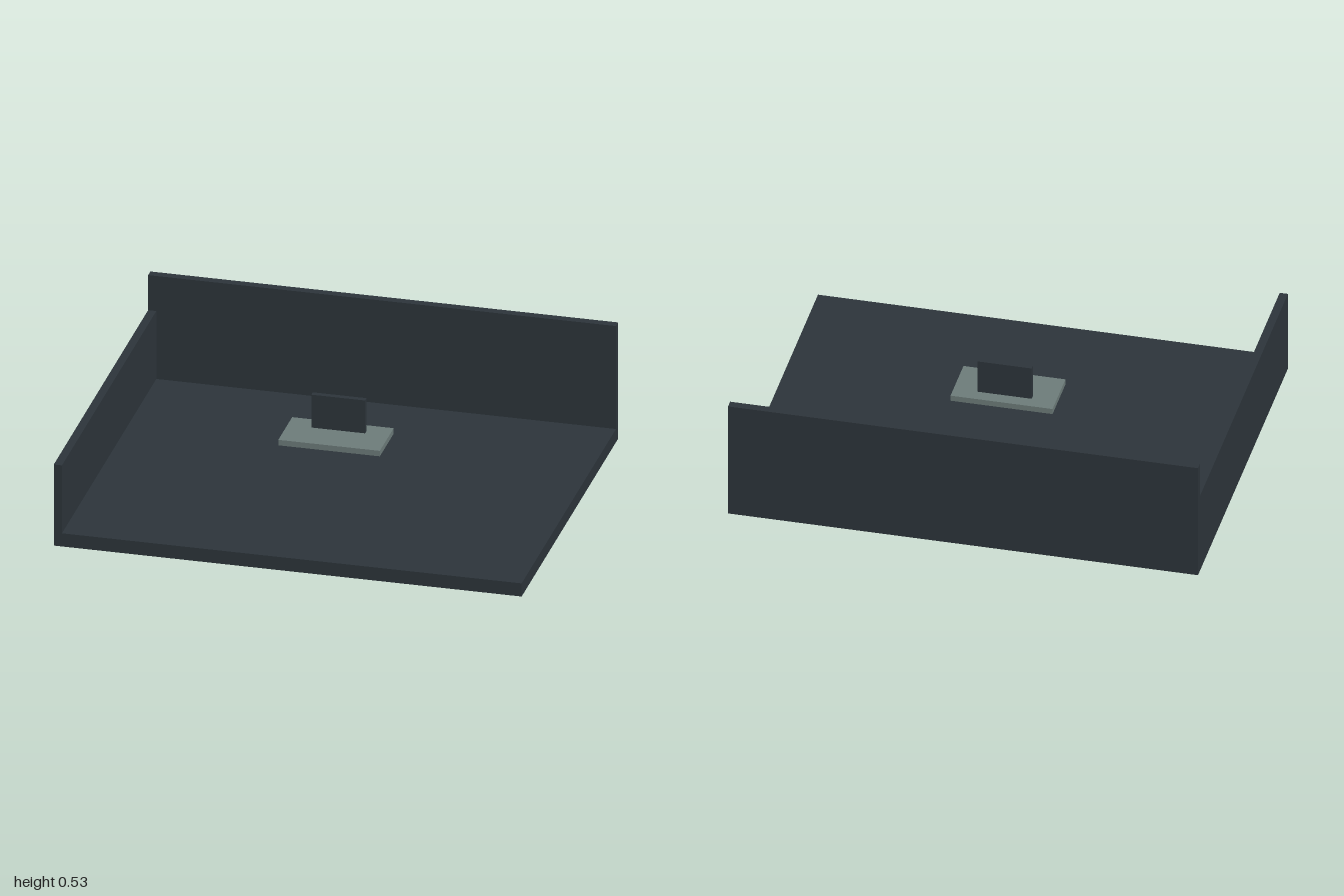
import * as THREE from 'three';

export function createModel() {
  const model = new THREE.Group();
  const slate = new THREE.MeshStandardMaterial({ color: 0x2d353b });
  slate.name = 'dark slate';
  const greyGreen = new THREE.MeshStandardMaterial({ color: 0x6e7d7b });
  greyGreen.name = 'grey green';

  // Box given by its lower and upper corners
  function addBox(name, material, [x0, y0, z0], [x1, y1, z1]) {
    const geometry = new THREE.BoxGeometry(x1 - x0, y1 - y0, z1 - z0);
    const mesh = new THREE.Mesh(geometry, material);
    mesh.position.set((x0 + x1) / 2, (y0 + y1) / 2, (z0 + z1) / 2);
    mesh.name = name;
    model.add(mesh);
  }

  // Room shell: floor slab and two walls
  addBox('floor', slate, [-1, 0, -0.8], [1, 0.06, 0.8]);
  addBox('backWall', slate, [-1, 0.06, -0.8], [1, 0.53, -0.763]);
  addBox('sideWall', slate, [-1, 0.06, -0.763], [-0.965, 0.37, 0.8]);

  // Floating desk top with an upright screen
  addBox('deskTop', greyGreen, [-0.217, 0.24, -0.115], [0.217, 0.265, 0.115]);
  addBox('screen', slate, [-0.115, 0.265, -0.06], [0.115, 0.415, -0.036]);

  return model;
}
